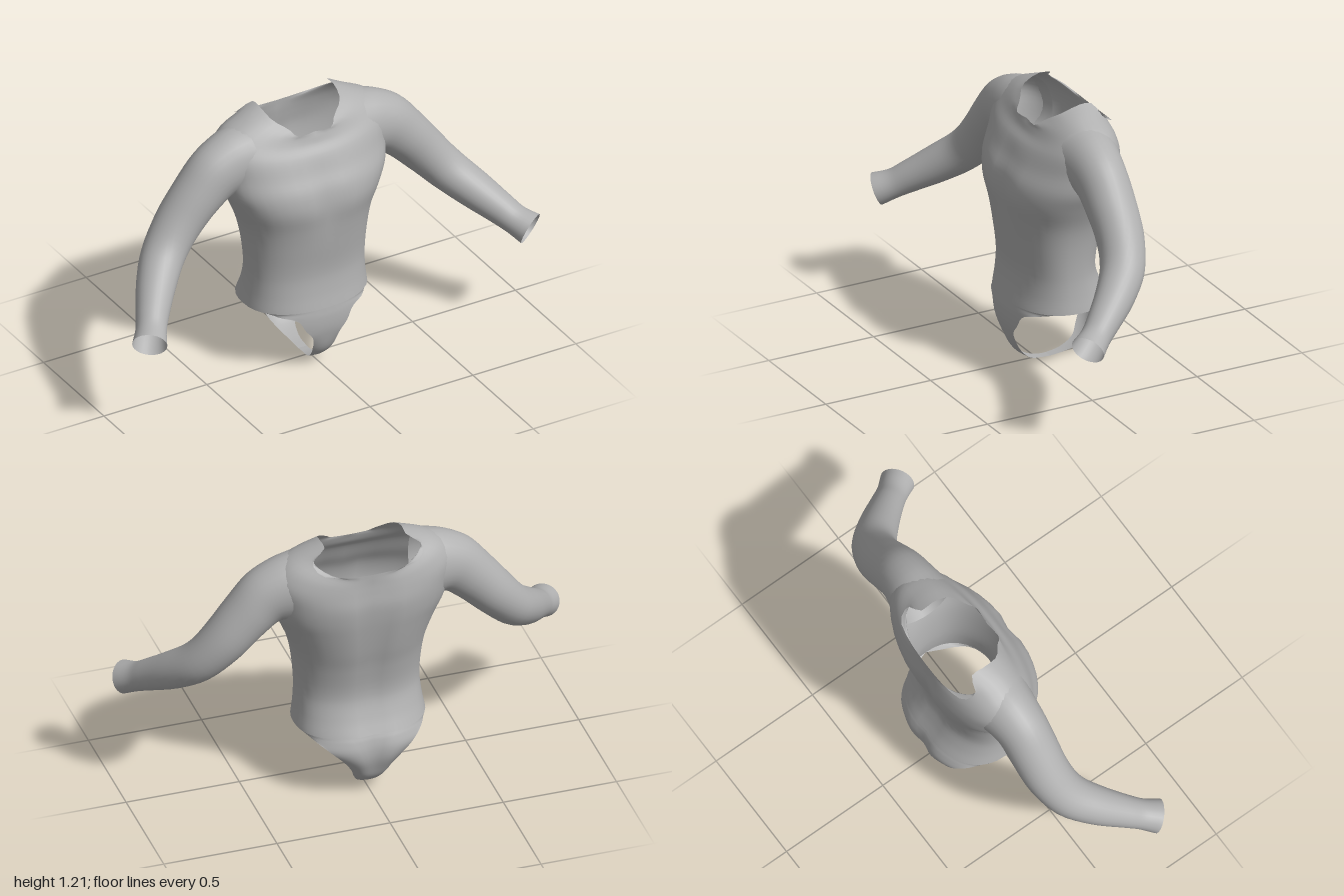
import * as THREE from 'three';

const POWER = 2.3;   // roundness of the torso cross-section
const HALF = 20;     // columns per half ring
const spow = (v) => Math.sign(v) * Math.abs(v) ** (2 / POWER);
const groove = (x, depth) => depth * Math.exp(-((x / 0.05) ** 2));
const V = (x, y, z) => new THREE.Vector3(x, y, z);

// Smooth each column through the given rows
function refine(rows, steps) {
  const columns = rows[0].map((_, j) =>
    new THREE.CatmullRomCurve3(rows.map((r) => r[j]), false, 'centripetal'));
  return Array.from({ length: steps + 1 }, (_, i) => columns.map((c) => c.getPoint(i / steps)));
}

// Skin rows of points into one smooth surface
function loft(rows, closed) {
  const n = rows[0].length, pos = [], index = [];
  rows.forEach((r) => r.forEach((p) => pos.push(p.x, p.y, p.z)));
  for (let i = 0; i < rows.length - 1; i++) {
    for (let j = 0; j < (closed ? n : n - 1); j++) {
      const k = (j + 1) % n;
      const a = i * n + j, b = i * n + k, c = b + n, d = a + n;
      index.push(a, b, d, b, c, d);
    }
  }
  const g = new THREE.BufferGeometry();
  g.setAttribute('position', new THREE.Float32BufferAttribute(pos, 3));
  g.setIndex(index);
  g.computeVertexNormals();
  return g;
}

// Torso rings: half width, front z, back z, y at side / front / back, front and back groove
const TORSO = [
  [0.285, 0.145, -0.285, 0.30, 0.30, 0.30, 0, 0.012],
  [0.275, 0.132, -0.25, 0.37, 0.37, 0.37, 0, 0.01],
  [0.27, 0.125, -0.222, 0.46, 0.46, 0.46, 0, 0.01],
  [0.28, 0.142, -0.24, 0.60, 0.60, 0.60, 0, 0.015],
  [0.30, 0.158, -0.265, 0.70, 0.70, 0.70, 0.006, 0.02],
  [0.34, 0.175, -0.285, 0.80, 0.80, 0.80, 0.018, 0.022],
  [0.375, 0.162, -0.297, 0.88, 0.88, 0.88, 0.015, 0.022],
  [0.39, 0.125, -0.30, 0.97, 0.95, 0.95, 0.008, 0.02],
  [0.40, 0.09, -0.29, 1.06, 1.02, 1.01, 0, 0.015],
  [0.35, 0.062, -0.282, 1.13, 1.06, 1.05, 0, 0.01],
  [0.265, 0.05, -0.277, 1.175, 1.09, 1.08, 0, 0.005],
];

// Ragged neckline, front centre round to back centre
const neckline = new THREE.CatmullRomCurve3([
  V(0, 1.11, 0.04), V(0.08, 1.11, 0.045), V(0.11, 1.14, 0.015), V(0.165, 1.18, -0.03),
  V(0.18, 1.21, -0.11), V(0.18, 1.205, -0.17), V(0.24, 1.16, -0.195),
  V(0.22, 1.125, -0.245), V(0.12, 1.105, -0.268), V(0, 1.1, -0.272),
]);

function torsoGeometry() {
  const angles = Array.from({ length: HALF * 2 }, (_, j) => (j / HALF) * Math.PI);
  const rows = TORSO.map(([hw, zF, zB, yS, yF, yB, gF, gB]) => angles.map((a) => {
    const s = Math.sin(a), c = Math.cos(a), x = hw * spow(s);
    const mid = (zF + zB) / 2, depth = (zF - zB) / 2;
    const z = mid + depth * spow(c) - (c > 0 ? groove(x, gF) : -groove(x, gB));
    return V(x, THREE.MathUtils.lerp(yS, c > 0 ? yF : yB, c * c), z);
  }));
  rows.push(angles.map((a, j) => {
    const p = neckline.getPoint(j <= HALF ? j / HALF : 2 - j / HALF);
    if (j > HALF) p.x *= -1;
    return p;
  }));
  return loft(refine(rows, 44), true);
}

// Lower panels: half width, y, centre z, inward curl of the edges, groove
const FRONT_PANEL = [
  [0.285, 0.30, 0.145, 0, 0], [0.20, 0.285, 0.147, 0, 0], [0.13, 0.26, 0.15, 0, 0],
  [0.10, 0.21, 0.15, 0, 0], [0.065, 0.165, 0.143, 0, 0], [0.05, 0.09, 0.12, 0.01, 0],
  [0.04, 0.045, 0.085, 0.01, 0], [0.03, 0.015, 0.035, 0, 0], [0.02, 0.002, -0.02, 0, 0],
  [0.02, 0, -0.06, 0, 0],
];
const BACK_PANEL = [
  [0.285, 0.30, -0.285, 0, 0.012], [0.235, 0.28, -0.295, 0, 0.014], [0.18, 0.24, -0.308, 0, 0.018],
  [0.13, 0.19, -0.312, 0.02, 0.022], [0.09, 0.13, -0.297, 0.035, 0.022],
  [0.07, 0.08, -0.27, 0.035, 0.015], [0.045, 0.04, -0.22, 0.015, 0.008],
  [0.025, 0.01, -0.13, 0, 0], [0.02, 0, -0.06, 0, 0],
];

function panelGeometry(table, side) {
  const rows = table.map(([w, y, zc, curl, g]) => Array.from({ length: HALF + 1 }, (_, j) => {
    const k = side * spow(Math.cos((j / HALF) * Math.PI));
    const x = k * w, bulge = 1 - Math.max(0, 1 - Math.abs(x / 0.285) ** POWER) ** (1 / POWER);
    return V(x, y, zc - side * (0.215 * bulge + curl * k * k + groove(x, g)));
  }));
  return loft(refine(rows, 30), false);
}

// Sleeve sections: centre x, y, z, upright radius, fore-aft radius
const SLEEVE = [
  [0.27, 0.995, -0.095, 0.165, 0.14], [0.35, 0.99, -0.09, 0.145, 0.122],
  [0.42, 0.963, -0.086, 0.128, 0.112], [0.50, 0.888, -0.085, 0.112, 0.108],
  [0.60, 0.775, -0.078, 0.10, 0.102], [0.69, 0.672, -0.04, 0.09, 0.095],
  [0.77, 0.595, 0.04, 0.082, 0.085], [0.85, 0.52, 0.145, 0.068, 0.07],
  [0.885, 0.487, 0.195, 0.063, 0.066], [0.925, 0.458, 0.252, 0.071, 0.074],
];

function sleeveGeometry() {
  const path = new THREE.CatmullRomCurve3(SLEEVE.map(([x, y, z]) => V(x, y, z)));
  const rows = SLEEVE.map(([x, y, z, up, side], i) => {
    const t = path.getTangent(i / (SLEEVE.length - 1));
    const n = V(0, 1, 0).addScaledVector(t, -t.y).normalize();
    const b = t.clone().cross(n);
    return Array.from({ length: 28 }, (_, j) => {
      const a = (j / 28) * Math.PI * 2;
      return V(x, y, z).addScaledVector(n, up * Math.cos(a)).addScaledVector(b, side * Math.sin(a));
    });
  });
  return loft(refine(rows, 36), true);
}

export function createModel() {
  const group = new THREE.Group();
  group.name = 'bodysuit';
  const fabric = new THREE.MeshStandardMaterial({ color: 0xb0b0b0, side: THREE.DoubleSide });
  fabric.name = 'grey fabric';
  const add = (name, geometry) => {
    const mesh = new THREE.Mesh(geometry, fabric);
    mesh.name = name;
    group.add(mesh);
    return mesh;
  };

  add('torso', torsoGeometry());
  add('frontPanel', panelGeometry(FRONT_PANEL, 1));
  add('backPanel', panelGeometry(BACK_PANEL, -1));
  const sleeve = sleeveGeometry();
  add('leftSleeve', sleeve);
  add('rightSleeve', sleeve).scale.x = -1;
  return group;
}
